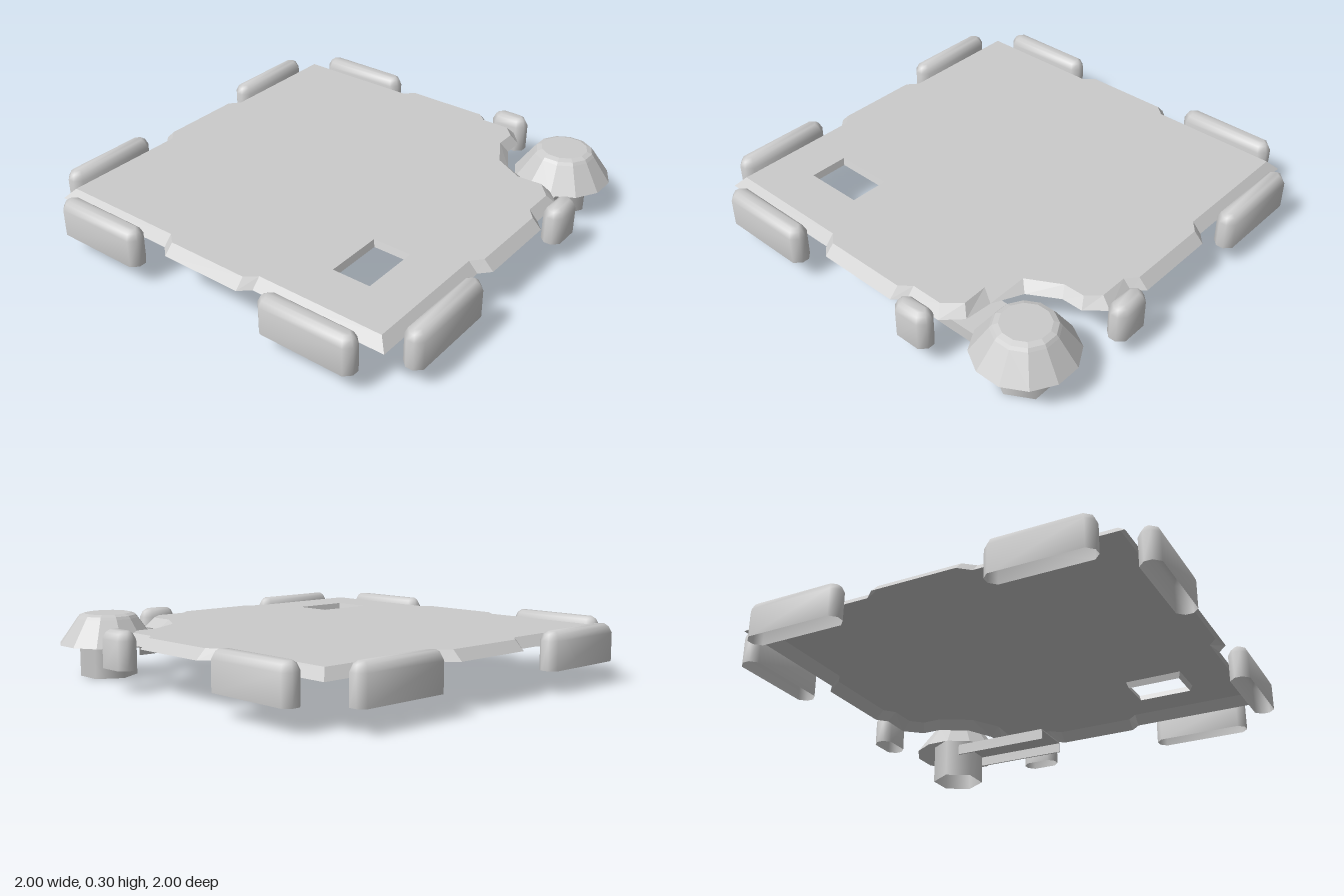
import * as THREE from 'three';
import { mergeGeometries, toCreasedNormals } from 'three/addons/utils/BufferGeometryUtils.js';

const smooth = new THREE.MeshStandardMaterial({ color: 0xcccccc, side: THREE.DoubleSide });
const faceted = new THREE.MeshStandardMaterial({ color: 0xcccccc, side: THREE.DoubleSide, flatShading: true });

// Plan points are [x, -z], counter-clockwise seen from above.
// Skins a stack of plan rings, each { y, pts }.
function skin(rings) {
  const pos = [];
  for (let r = 0; r + 1 < rings.length; r++) {
    const lo = rings[r], hi = rings[r + 1], n = lo.pts.length;
    for (let i = 0; i < n; i++) {
      const j = (i + 1) % n;
      const v = (ring, k) => [ring.pts[k][0], ring.y, -ring.pts[k][1]];
      const a = v(lo, i), b = v(lo, j), c = v(hi, j), d = v(hi, i);
      pos.push(...a, ...b, ...c, ...a, ...c, ...d);
    }
  }
  const g = new THREE.BufferGeometry();
  g.setAttribute('position', new THREE.Float32BufferAttribute(pos, 3));
  g.computeVertexNormals();
  return g;
}

// Flat horizontal face, with optional holes.
function face(y, pts, holes = []) {
  const toVec = (list) => list.map(([px, py]) => new THREE.Vector2(px, py));
  const shape = new THREE.Shape(toVec(pts));
  holes.forEach((h) => shape.holes.push(new THREE.Path(toVec(h))));
  const g = new THREE.ShapeGeometry(shape).rotateX(-Math.PI / 2).translate(0, y, 0).toNonIndexed();
  g.deleteAttribute('uv');
  return g;
}

function addMesh(parent, name, geometry, material = smooth) {
  const m = new THREE.Mesh(geometry, material);
  m.name = name;
  parent.add(m);
  return m;
}

// Square outline with a tab on every side and a notched back corner.
function outline(e, t, notch) {
  return [
    [e, -e], [e, -0.25], [t, -0.2], [t, 0.2], [e, 0.25],
    ...notch,
    [0.25, e], [0.2, t], [-0.2, t], [-0.25, e],
    [-e, e], [-e, 0.25], [-t, 0.2], [-t, -0.2], [-e, -0.25],
    [-e, -e], [-0.25, -e], [-0.2, -t], [0.2, -t], [0.25, -e],
  ];
}

// Clockwise rectangle, so that skinned walls face into the opening.
const opening = (x0, x1, y0, y1) => [[x0, y0], [x0, y1], [x1, y1], [x1, y0]];

function plateGeometry() {
  const lower = outline(0.9, 0.945,
    [[0.9, 0.43], [0.82, 0.51], [0.69, 0.52], [0.555, 0.585], [0.475, 0.72], [0.475, 0.82], [0.4, 0.905]]);
  const upper = outline(0.857, 0.9,
    [[0.857, 0.4], [0.79, 0.475], [0.67, 0.47], [0.525, 0.55], [0.44, 0.7], [0.44, 0.8], [0.385, 0.857]]);
  const holeTop = opening(0.455, 0.64, -0.64, -0.36);
  const holeLow = opening(0.465, 0.63, -0.63, -0.37);
  return mergeGeometries([
    skin([{ y: 0.2, pts: lower }, { y: 0.245, pts: upper }]),
    face(0.245, upper, [holeTop]),
    skin([{ y: 0.215, pts: holeLow }, { y: 0.245, pts: holeTop }]),
  ]);
}

// Edge block lying along x, open underneath, with softened ends and top.
function bumperGeometry(length) {
  const ring = (y, inset) => {
    const L = length / 2 - inset, w = 0.0475 - inset, c = 0.03 - inset * 0.4;
    return { y, pts: [
      [L, c - w], [L, w - c], [L - c, w], [c - L, w],
      [-L, w - c], [-L, c - w], [c - L, -w], [L - c, -w],
    ] };
  };
  const rings = [ring(0.1, 0), ring(0.23, 0), ring(0.258, 0.012), ring(0.27, 0.027)];
  return toCreasedNormals(mergeGeometries([skin(rings), face(0.27, rings[3].pts)]), 1.1);
}

export function createModel() {
  const model = new THREE.Group();
  model.name = 'floorTile';

  addMesh(model, 'plate', plateGeometry(), faceted);

  // Bumpers: [x, z, length, runs along z]
  const long = 0.47, short = 0.18, off = 0.9525;
  const bumpers = [
    [-0.575, off, long, false], [0.575, off, long, false],
    [-0.575, -off, long, false], [0.35, -off, short, false],
    [-off, -0.575, long, true], [-off, 0.575, long, true],
    [off, 0.575, long, true], [off, -0.35, short, true],
  ];
  const bumperGroup = new THREE.Group();
  bumperGroup.name = 'bumpers';
  model.add(bumperGroup);
  for (const [x, z, length, alongZ] of bumpers) {
    const b = addMesh(bumperGroup, 'bumper', bumperGeometry(length));
    b.position.set(x, 0, z);
    if (alongZ) b.rotation.y = Math.PI / 2;
  }

  // Corner post: hexagonal stem under a twelve-sided flared cap
  const post = new THREE.Group();
  post.name = 'cornerPost';
  post.position.set(0.75, 0, -0.762);
  model.add(post);
  const stem = new THREE.CylinderGeometry(0.131, 0.131, 0.2, 6, 1, true);
  stem.rotateY(Math.PI / 2).translate(0, 0.1, 0);
  addMesh(post, 'stem', stem);
  const profile = [[0.228, 0.155], [0.143, 0.275], [0.132, 0.288], [0.108, 0.297], [0, 0.297]]
    .map(([r, y]) => new THREE.Vector2(r, y));
  addMesh(post, 'cap', new THREE.LatheGeometry(profile, 12, Math.PI / 12), faceted);

  // Thin channel joining the post to the underside of the plate
  const bracket = new THREE.Group();
  bracket.name = 'bracket';
  bracket.position.set(0.72, 0, -0.43);
  model.add(bracket);
  const top = addMesh(bracket, 'bracketTop', new THREE.BoxGeometry(0.22, 0.006, 0.5));
  top.position.y = 0.152;
  for (const s of [-1, 1]) {
    const wall = addMesh(bracket, 'bracketWall', new THREE.BoxGeometry(0.008, 0.055, 0.5));
    wall.position.set(s * 0.106, 0.1275, 0);
  }
  return model;
}
